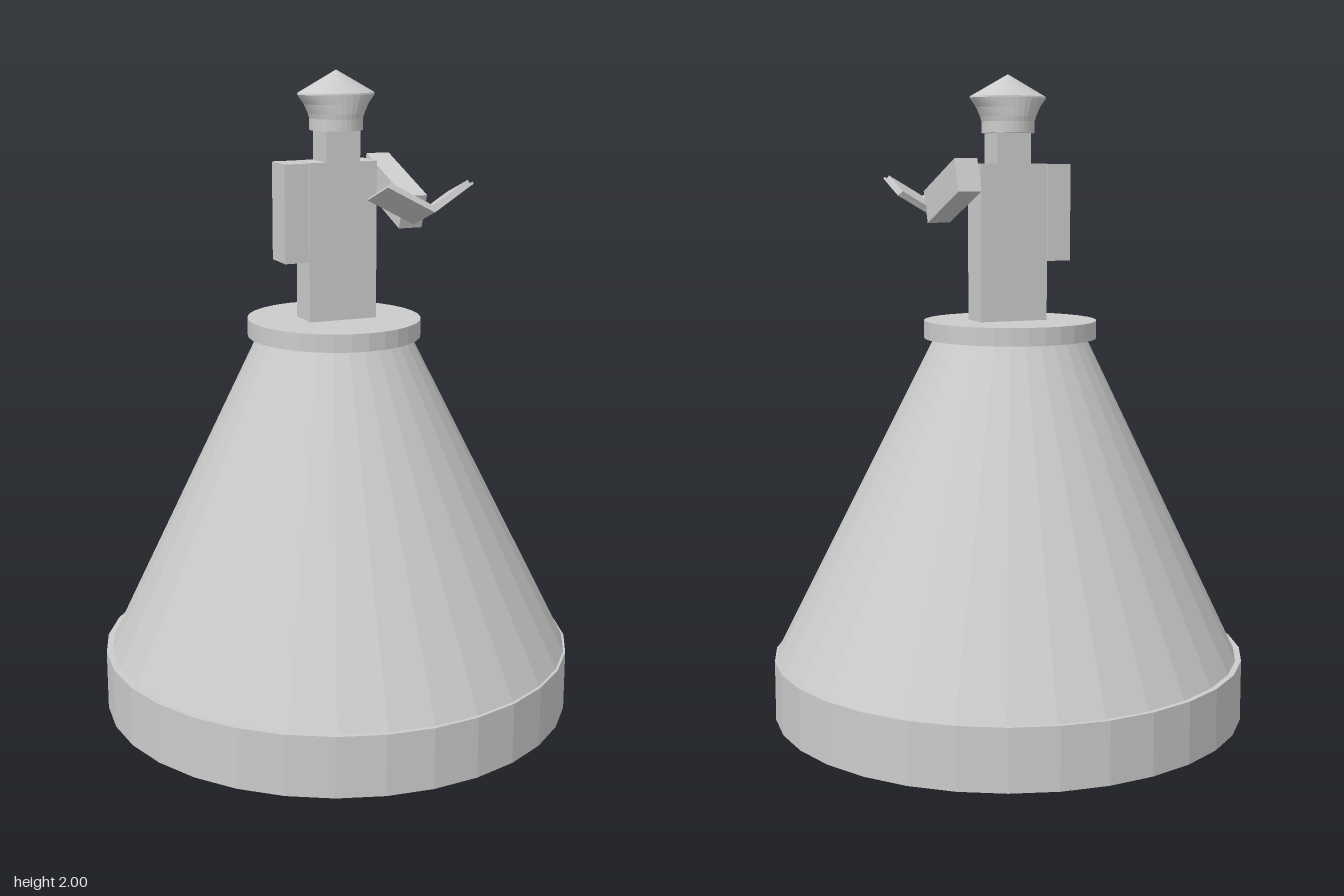
import * as THREE from 'three';

export function createModel() {
  const model = new THREE.Group();
  const mat = new THREE.MeshStandardMaterial({ color: 0xcccccc, flatShading: true, side: THREE.DoubleSide });

  const add = (name, geometry, x, y, z, parent = model) => {
    const mesh = new THREE.Mesh(geometry, mat);
    mesh.name = name;
    mesh.position.set(x, y, z);
    parent.add(mesh);
    return mesh;
  };
  const box = (name, w, h, d, x, y, z, parent) =>
    add(name, new THREE.BoxGeometry(w, h, d), x, y, z, parent);

  // Round base
  add('base', new THREE.CylinderGeometry(0.743, 0.743, 0.19, 32), 0, 0.095, 0);

  // Tapered pedestal, leaning very slightly towards -x
  const taper = new THREE.CylinderGeometry(0.239, 0.73, 1, 32);
  const tp = taper.attributes.position;
  for (let i = 0; i < tp.count; i++) tp.setX(i, tp.getX(i) - 0.014 * tp.getY(i));
  taper.computeVertexNormals();
  add('pedestal', taper, 0, 0.69, 0);

  // Standing plate
  add('plate', new THREE.CylinderGeometry(0.268, 0.268, 0.055, 32).scale(1, 1, 1.03), -0.007, 1.22, 0);

  // Figure
  box('body', 0.22, 0.485, 0.108, 0, 1.4875, 0.004);
  box('head', 0.11, 0.1, 0.108, 0, 1.775, 0.004);
  box('rightArm', 0.076, 0.298, 0.108, -0.15, 1.58, 0.002);
  const leftArm = box('leftArm', 0.074, 0.106, 0.297, 0.148, 1.645, 0.098);
  leftArm.rotation.x = 0.35;

  // Cap: a round band flaring sideways into an oval crown with a pointed top
  const profile = [[0, 1.822], [0.081, 1.822], [0.081, 1.857], [0.086, 1.872], [0.1, 1.9], [0.122, 1.928], [0.12, 1.933], [0, 2]]
    .map(([r, y]) => new THREE.Vector2(r, y));
  const cap = new THREE.LatheGeometry(profile, 32);
  const cp = cap.attributes.position;
  for (let i = 0; i < cp.count; i++) {
    const y = cp.getY(i);
    const squash = y < 1.86 ? 1.04 : y < 1.93 ? 0.086 / Math.hypot(cp.getX(i), cp.getZ(i)) : 0.71;
    cp.setZ(i, cp.getZ(i) * squash);
  }
  cap.computeVertexNormals();
  add('cap', cap, 0, 0, 0);

  // Open book, tilted up away from the body; each leaf hinges at the spine
  const book = new THREE.Group();
  book.name = 'book';
  book.position.set(0.15, 1.583, 0.31);
  book.rotation.x = -0.35;
  model.add(book);
  for (const side of [-1, 1]) {
    const leaf = new THREE.Group();
    leaf.name = side > 0 ? 'leftLeaf' : 'rightLeaf';
    leaf.rotation.z = side * Math.PI / 6;
    book.add(leaf);
    box('cover', 0.158, 0.007, 0.153, side * 0.079, 0.0035, 0, leaf);
    box('pages', 0.145, 0.012, 0.143, side * 0.0785, 0.013, 0, leaf);
  }
  return model;
}
